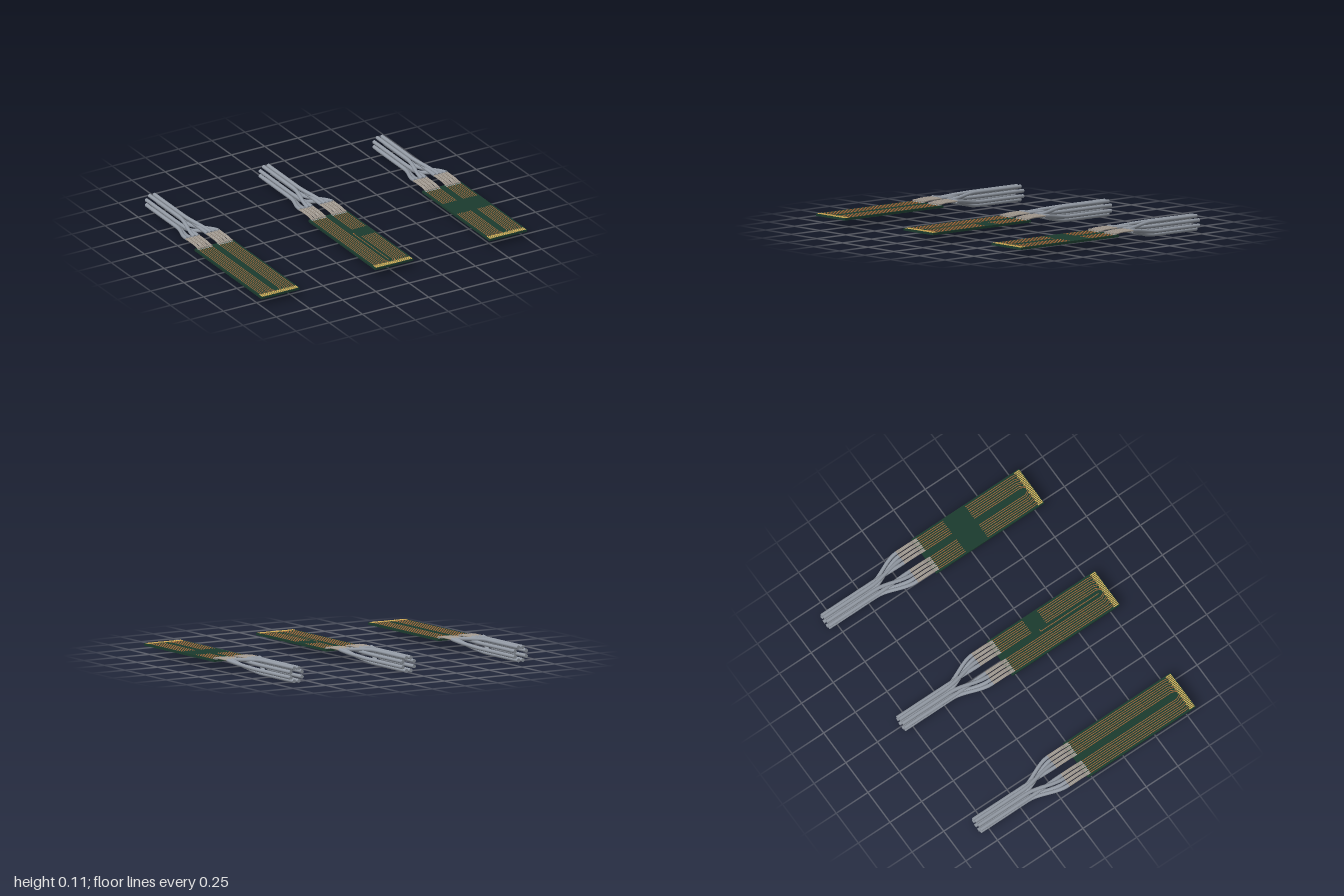
import * as THREE from 'three';

const paint = (color) => new THREE.MeshStandardMaterial({ color });
const green = paint(0x1b3b2e), copper = paint(0xa8693a), gold = paint(0xd9b45a);
const tin = paint(0xb8b8b4), jacket = paint(0x9299a3), foil = paint(0xa39a90);

const TOP = 0.065, BACK = -0.035, FRONT = 0.815;
const RING = 0.046, CABLE = 0.0125, RING_Y = 0.055;
const FAN_X = [0.035, 0.063, 0.091, 0.119]; // where the stripped ends sit, per side
const RING_ANGLE = [22.5, 67.5, -67.5, -22.5]; // matching places in the round bundle

function box(parent, name, mat, w, h, d, x, y, z) {
  const mesh = new THREE.Mesh(new THREE.BoxGeometry(w, h, d), mat);
  mesh.name = name;
  mesh.position.set(x, y, z);
  parent.add(mesh);
  return mesh;
}

// Round tube along points, closed with a flat disc at each end
function tube(parent, name, mat, pts, radius, steps, sides) {
  const group = new THREE.Group();
  group.name = name;
  const curve = new THREE.CatmullRomCurve3(pts.map((p) => new THREE.Vector3(...p)));
  group.add(new THREE.Mesh(new THREE.TubeGeometry(curve, steps, radius, sides), mat));
  for (const t of [0, 1]) {
    const cap = new THREE.Mesh(new THREE.CircleGeometry(radius, sides), mat);
    const dir = curve.getTangent(t).multiplyScalar(t ? 1 : -1);
    cap.position.copy(curve.getPoint(t));
    cap.quaternion.setFromUnitVectors(new THREE.Vector3(0, 0, 1), dir);
    group.add(cap);
  }
  parent.add(group);
}

// Flat copper strip between two points on the board
function strip(parent, x0, z0, x1, z1) {
  const len = Math.hypot(x1 - x0, z1 - z0);
  const mesh = box(parent, 'trace', copper, 0.0045, 0.001, len, (x0 + x1) / 2, TOP + 0.0005, (z0 + z1) / 2);
  mesh.rotation.y = Math.atan2(x1 - x0, z1 - z0);
}

// gap: the area {x0, z0, z1} where the traces run hidden under the mask
function board(gap) {
  const g = new THREE.Group();
  g.name = 'circuitBoard';
  box(g, 'boardPlate', green, 0.286, 0.015, FRONT - BACK, 0, TOP - 0.0075, (FRONT + BACK) / 2);

  // Edge contacts: ground, signal, signal, repeated
  for (let i = 0; i < 25; i++) {
    const ground = i % 3 === 0;
    box(g, 'edgeContact', gold, 0.007, 0.0016, ground ? 0.04 : 0.034, (i - 12) * 0.011, TOP + 0.0008, ground ? 0.792 : 0.795);
  }

  // A pair of traces from each cable to its contacts
  for (let k = 0; k < 8; k++) {
    const side = k < 4 ? -1 : 1;
    const cx = side * FAN_X[k < 4 ? 3 - k : k - 4];
    for (const s of [-1, 1]) {
      const x = cx + s * 0.0065;
      const padX = (3 * k + (s < 0 ? 1 : 2) - 12) * 0.011;
      box(g, 'solderPad', tin, 0.008, 0.002, 0.028, x, TOP + 0.001, -0.018);
      if (gap && x > gap.x0) {
        strip(g, x, -0.005, x, gap.z0);
        strip(g, x, gap.z1, x, 0.745);
      } else strip(g, x, -0.005, x, 0.745);
      strip(g, x, 0.745, padX, 0.78);
    }
  }
  return g;
}

function cableBundle() {
  const g = new THREE.Group();
  g.name = 'cableBundle';
  for (const side of [-1, 1]) {
    FAN_X.forEach((fan, i) => {
      const a = THREE.MathUtils.degToRad(RING_ANGLE[i]);
      const x = side * fan, y = 0.077;
      const rx = side * RING * Math.cos(a), ry = RING_Y + RING * Math.sin(a);

      // Jacketed cable easing from the flat fan into the round bundle
      const pts = [];
      for (let n = 0; n <= 9; n++) {
        const t = n / 9, e = t * t * (3 - 2 * t);
        const f = 1 - (1 - t) ** 2 * (1 + 0.3 * t); // height settles sooner than the spread
        pts.push([x + (rx - x) * e, y + (ry - y) * (0.5 * e + 0.5 * f), -0.17 - 0.27 * t]);
      }
      pts.push([rx, ry, -0.55], [rx, ry, -0.68], [rx, ry, -0.815]);
      tube(g, 'cable', jacket, pts, CABLE, 44, 14);

      // Two cores and a bare drain wire step down onto the pads
      const lead = (dx, r, mat, name) => tube(g, name, mat, [
        [x + dx, y, -0.175], [x + dx, y, -0.11], [x + dx, 0.076, -0.06],
        [x + dx, TOP + r + 0.002, -0.035], [x + dx, TOP + r + 0.002, -0.01],
      ], r, 16, 8);
      lead(-0.0065, 0.0052, foil, 'coreWire');
      lead(0.0065, 0.0052, foil, 'coreWire');
      lead(0, 0.002, tin, 'drainWire');
    });
  }
  return g;
}

export function createModel() {
  const model = new THREE.Group();
  model.name = 'ribbonBoards';
  const gaps = [null, { x0: 0.01, z0: 0.235, z1: 0.35 }, { x0: -1, z0: 0.205, z1: 0.38 }];
  gaps.forEach((gap, i) => {
    const unit = new THREE.Group();
    unit.name = 'cableUnit';
    unit.add(board(gap), cableBundle());
    // Short stub traces beside the partly covered area
    if (i === 1) {
      strip(unit, 0, 0.29, 0.015, 0.29);
      strip(unit, 0, 0.29, 0, 0.745);
    }
    unit.position.x = (i - 1) * 0.857;
    model.add(unit);
  });
  return model;
}
